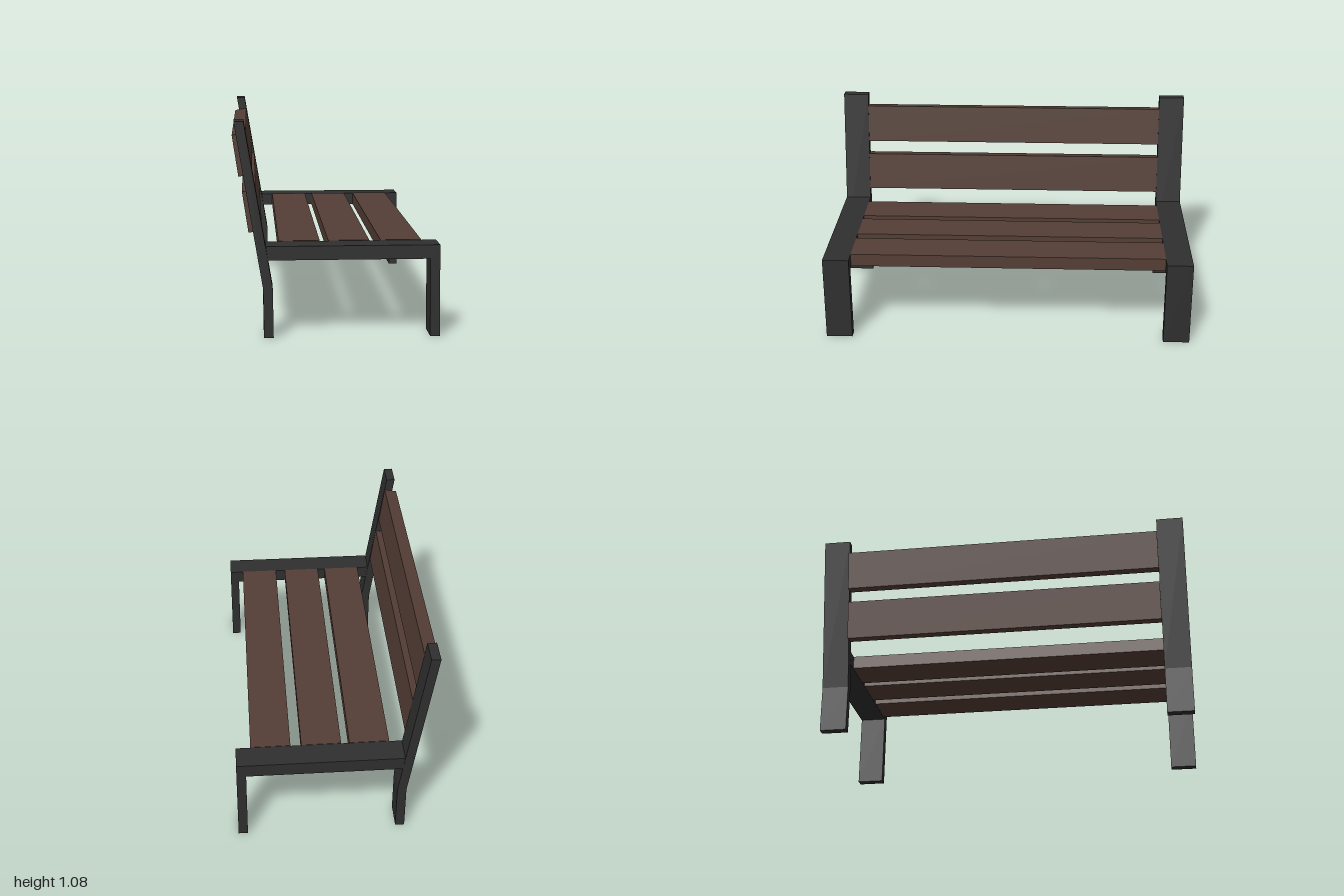
import * as THREE from 'three';

export function createModel() {
  const bench = new THREE.Group();
  bench.name = 'bench';
  const iron = new THREE.MeshStandardMaterial({ color: 0x2f2f2f });
  iron.name = 'dark grey';
  const wood = new THREE.MeshStandardMaterial({ color: 0x543e36 });
  wood.name = 'brown wood';

  // Extrudes an x-y outline along z between z0 and z1
  function prism(name, points, z0, z1, material, parent) {
    const shape = new THREE.Shape(points.map(([x, y]) => new THREE.Vector2(x, y)));
    const geometry = new THREE.ExtrudeGeometry(shape, { depth: z1 - z0, bevelEnabled: false });
    geometry.translate(0, 0, z0);
    const mesh = new THREE.Mesh(geometry, material);
    mesh.name = name;
    parent.add(mesh);
  }

  // End frames: bent back post, seat rail, front leg
  const outlines = {
    backPost: [[-0.365, 0.003], [-0.317, 0.003], [-0.32, 0.25], [-0.458, 1.08], [-0.506, 1.08], [-0.368, 0.25]],
    railAndFrontLeg: [[-0.344, 0.394], [0.462, 0.394], [0.466, 0], [0.515, 0], [0.511, 0.464], [-0.354, 0.464]],
  };
  for (const [side, z0, z1] of [['left', 0.857, 1], ['right', -1, -0.857]]) {
    const frame = new THREE.Group();
    frame.name = side + 'EndFrame';
    for (const part in outlines) prism(part, outlines[part], z0, z1, iron, frame);
    bench.add(frame);
  }

  // Seat slats
  for (const x of [-0.288, -0.037, 0.227]) {
    prism('seatSlat', [[x, 0.396], [x + 0.208, 0.396], [x + 0.208, 0.466], [x, 0.466]], -0.857, 0.857, wood, bench);
  }

  // Leaning back slats, given by their lower rear corner
  for (const [x, y] of [[-0.438, 0.509], [-0.486, 0.793]]) {
    prism('backSlat', [[x, y], [x + 0.069, y + 0.011], [x + 0.038, y + 0.219], [x - 0.031, y + 0.208]],
      -0.857, 0.857, wood, bench);
  }
  return bench;
}
